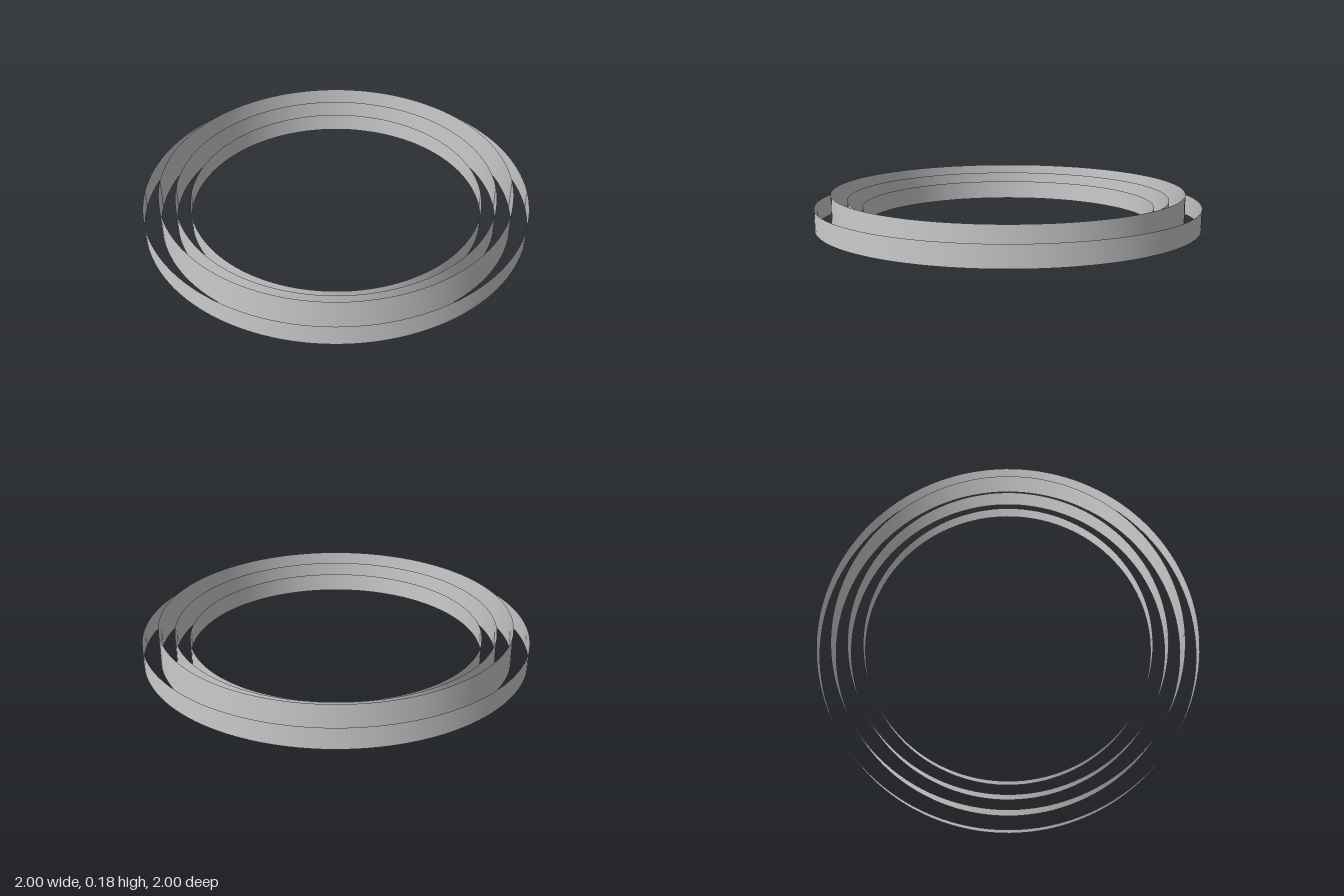
import * as THREE from 'three';

export function createModel() {
  const group = new THREE.Group();
  group.name = 'nestedRings';
  const material = new THREE.MeshStandardMaterial({ color: 0xcccccc, side: THREE.DoubleSide });

  // Four thin open concentric bands, all standing on the ground
  const bands = [
    { name: 'outerBand', radius: 1, height: 0.11 },
    { name: 'tallBand', radius: 0.914, height: 0.178 },
    { name: 'middleBand', radius: 0.833, height: 0.142 },
    { name: 'innerBand', radius: 0.758, height: 0.1 },
  ];
  for (const { name, radius, height } of bands) {
    const geometry = new THREE.CylinderGeometry(radius, radius, height, 128, 1, true);
    const band = new THREE.Mesh(geometry, material);
    band.name = name;
    band.position.y = height / 2;
    group.add(band);
  }
  return group;
}
